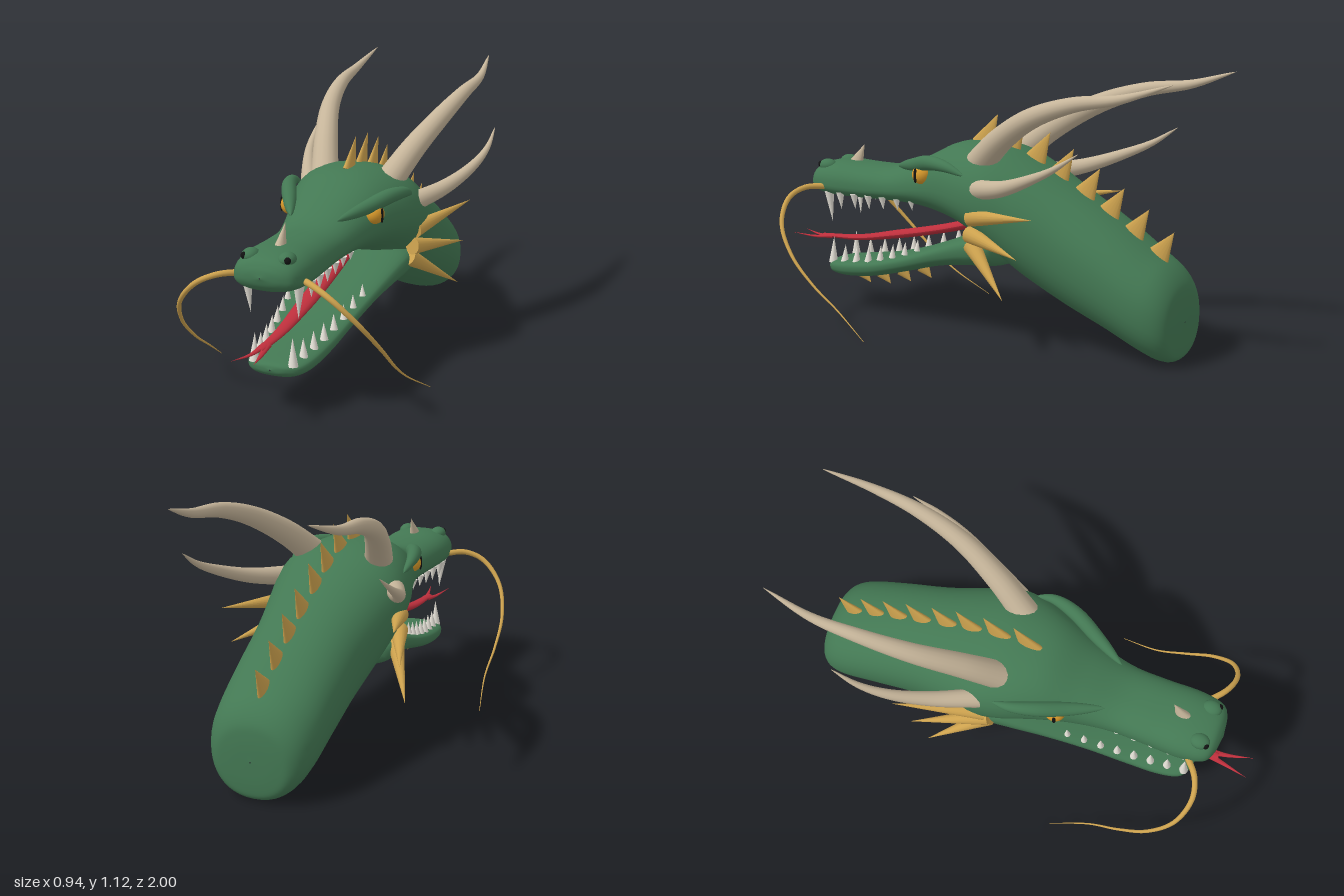
import * as THREE from 'three';

const material = (name, color) => {
  const m = new THREE.MeshStandardMaterial({ color });
  m.name = name;
  return m;
};
const V = (x, y, z) => new THREE.Vector3(x, y, z);

// Closed body lofted along z from stations [z, top, bottom, half width, squareness, widest level 0..1]
function loft(stations, rings, sides) {
  const heights = new THREE.CatmullRomCurve3(stations.map(s => V(s[0], s[1], s[2])), false, 'catmullrom', 0.5);
  const shapes = new THREE.CatmullRomCurve3(stations.map(s => V(s[3], s[4], s[5])), false, 'catmullrom', 0.5);
  const pos = [], index = [];
  const pw = (v, n) => Math.sign(v) * Math.pow(Math.abs(v), 2 / n);
  for (let i = 0; i <= rings; i++) {
    const { x: z, y: top, z: bottom } = heights.getPoint(i / rings);
    const { x: w, y: n, z: level } = shapes.getPoint(i / rings);
    const mid = bottom + (top - bottom) * level;
    for (let j = 0; j < sides; j++) {
      const a = (j / sides) * Math.PI * 2, s = Math.sin(a);
      pos.push(w * pw(Math.cos(a), n), mid + (s > 0 ? top - mid : mid - bottom) * pw(s, n), z);
      if (i === rings) continue;
      const a0 = i * sides + j, b0 = i * sides + (j + 1) % sides;
      index.push(a0, a0 + sides, b0, b0, a0 + sides, b0 + sides);
    }
  }
  const g = new THREE.BufferGeometry();
  g.setAttribute('position', new THREE.Float32BufferAttribute(pos, 3));
  g.setIndex(index);
  g.computeVertexNormals();
  return g;
}

// Round tube along points whose radius follows a rule; flat squashes it in y
function taper(points, radius, flat = 1, segs = 40, sides = 16) {
  const curve = new THREE.CatmullRomCurve3(points.map(p => V(...p)));
  const g = new THREE.TubeGeometry(curve, segs, 1, sides);
  const p = g.attributes.position, n = g.attributes.normal;
  for (let i = 0; i <= segs; i++) {
    const c = curve.getPointAt(i / segs), r = Math.max(radius(i / segs), 0.0005);
    for (let j = 0; j <= sides; j++) {
      const k = i * (sides + 1) + j;
      p.setXYZ(k, c.x + n.getX(k) * r, c.y + n.getY(k) * r * flat, c.z + n.getZ(k) * r);
    }
  }
  if (flat !== 1) g.computeVertexNormals();
  return g;
}

export function createModel() {
  const model = new THREE.Group();
  model.name = 'dragonHead';
  const green = material('scale green', 0x437853);
  const bone = material('horn bone', 0xc6b59a);
  const gold = material('spike gold', 0xcda24e);
  const ivory = material('tooth ivory', 0xe6e2d8);
  const red = material('tongue red', 0xbd2f3c);
  const amber = material('eye amber', 0xd99a2b);
  const black = material('pupil black', 0x121212);

  const add = (name, geometry, mat) => {
    const mesh = new THREE.Mesh(geometry, mat);
    mesh.name = name;
    model.add(mesh);
    return mesh;
  };
  const spike = (name, mat, base, tip, r, thin = 1) => {
    const a = V(...base), b = V(...tip), d = b.clone().sub(a);
    const m = add(name, new THREE.ConeGeometry(r, d.length(), 16), mat);
    m.position.copy(a).addScaledVector(d, 0.5);
    m.quaternion.setFromUnitVectors(V(0, 1, 0), d.normalize());
    m.scale.x = thin;
  };
  const ball = (name, mat, at, size) => {
    const m = add(name, new THREE.SphereGeometry(1, 24, 16), mat);
    m.position.set(...at);
    m.scale.set(...size);
    return m;
  };

  // Snout, skull and neck in one skin
  add('headAndNeck', loft([
    [0.848, 0.575, 0.57, 0.003, 2.2, 0.4],
    [0.835, 0.61, 0.535, 0.085, 2.3, 0.4],
    [0.80, 0.64, 0.51, 0.13, 2.4, 0.38],
    [0.70, 0.655, 0.50, 0.148, 2.4, 0.36],
    [0.55, 0.652, 0.502, 0.145, 2.4, 0.36],
    [0.40, 0.66, 0.505, 0.148, 2.3, 0.38],
    [0.25, 0.715, 0.50, 0.178, 2.2, 0.4],
    [0.10, 0.785, 0.475, 0.225, 2.2, 0.42],
    [-0.03, 0.80, 0.435, 0.268, 2.2, 0.44],
    [-0.15, 0.785, 0.36, 0.283, 2.2, 0.5],
    [-0.28, 0.735, 0.265, 0.262, 2.2, 0.52],
    [-0.45, 0.645, 0.175, 0.235, 2.2, 0.52],
    [-0.65, 0.53, 0.095, 0.226, 2.2, 0.5],
    [-0.80, 0.43, 0.03, 0.218, 2.2, 0.5],
    [-0.88, 0.375, 0.003, 0.198, 2.2, 0.5],
    [-0.925, 0.315, 0.012, 0.16, 2.2, 0.5],
    [-0.937, 0.255, 0.06, 0.105, 2.2, 0.5],
    [-0.94, 0.165, 0.16, 0.003, 2.2, 0.5],
  ], 102, 40), green);

  // Lower jaw
  add('lowerJaw', loft([
    [0.775, 0.187, 0.182, 0.003, 2.5, 0.6],
    [0.765, 0.205, 0.165, 0.065, 2.5, 0.6],
    [0.73, 0.215, 0.148, 0.112, 2.6, 0.6],
    [0.64, 0.228, 0.146, 0.136, 2.7, 0.6],
    [0.50, 0.25, 0.165, 0.148, 2.7, 0.6],
    [0.33, 0.295, 0.21, 0.165, 2.7, 0.6],
    [0.15, 0.36, 0.26, 0.195, 2.7, 0.6],
    [0.0, 0.42, 0.285, 0.225, 2.7, 0.6],
    [-0.10, 0.447, 0.295, 0.238, 2.7, 0.6],
    [-0.18, 0.43, 0.31, 0.215, 2.5, 0.6],
    [-0.225, 0.375, 0.365, 0.01, 2.4, 0.6],
  ], 60, 36), green);

  // Forked tongue
  add('tongue', taper([[0, 0.455, 0], [0, 0.4, 0.2], [0, 0.345, 0.45], [0, 0.306, 0.66], [0, 0.294, 0.86]],
    t => 0.037 * Math.min(1, Math.sqrt(t * 12)) * (t < 0.5 ? 1 : 1 - 1.2 * (t - 0.5)), 0.5), red);

  // Spines along the back, each leaning backward: [z, surface y]
  [[0, 0.79], [-0.13, 0.78], [-0.25, 0.74], [-0.36, 0.685], [-0.48, 0.62], [-0.59, 0.555], [-0.70, 0.485], [-0.81, 0.41]]
    .forEach(([z, y], i) => spike('backSpine', gold, [0, y - 0.015, z], [0, y + 0.122 - i * 0.003, z - 0.075], 0.056, 0.36));

  // Spikes under the chin
  [[0.64, 0.155], [0.53, 0.165], [0.42, 0.19], [0.31, 0.22]]
    .forEach(([z, y]) => spike('chinSpike', gold, [0, y, z], [0, y - 0.047, z - 0.045], 0.036, 0.5));

  spike('noseHorn', bone, [0, 0.64, 0.665], [0, 0.727, 0.62], 0.034, 0.65);

  for (const s of [1, -1]) {
    const side = s > 0 ? 'left' : 'right';
    const flip = pts => pts.map(([x, y, z]) => [x * s, y, z]);

    // Horns
    add(side + 'GreatHorn', taper(flip([[0.14, 0.72, -0.07], [0.2, 0.845, -0.22], [0.258, 0.95, -0.4],
      [0.29, 1.018, -0.6], [0.298, 1.052, -0.8], [0.275, 1.115, -1.0]]), t => 0.06 * Math.pow(1 - t, 0.75)), bone);
    add(side + 'SideHorn', taper(flip([[0.23, 0.635, -0.12], [0.32, 0.672, -0.3], [0.385, 0.73, -0.46],
      [0.41, 0.785, -0.58], [0.41, 0.855, -0.69]]), t => 0.042 * Math.pow(1 - t, 0.75)), bone);

    // Cheek spikes
    [[[0.25, 0.525, -0.11], [0.375, 0.575, -0.47]], [[0.245, 0.455, -0.1], [0.372, 0.41, -0.4]],
      [[0.23, 0.405, -0.1], [0.37, 0.238, -0.335]]]
      .forEach(p => spike(side + 'CheekSpike', gold, ...flip(p), 0.037));

    // Whisker
    add(side + 'Whisker', taper(flip([[0.12, 0.548, 0.73], [0.2, 0.548, 0.795], [0.28, 0.513, 0.818],
      [0.37, 0.42, 0.785], [0.42, 0.3, 0.69], [0.43, 0.19, 0.57], [0.432, 0.1, 0.44], [0.468, 0, 0.275]]),
      t => 0.0135 * (1 - 0.92 * t), 1, 60, 10), gold);

    // Brow ridge, eye and pupil
    add(side + 'Brow', taper(flip([[0.1, 0.672, 0.36], [0.165, 0.697, 0.23], [0.222, 0.722, 0.11],
      [0.25, 0.717, 0.01], [0.25, 0.69, -0.07]]), t => 0.031 * Math.pow(Math.sin(Math.PI * t), 0.6)), green);
    ball(side + 'Eye', amber, [s * 0.187, 0.662, 0.18], [0.038, 0.04, 0.042]).rotation.y = -s * 0.3;
    ball(side + 'Pupil', black, [s * 0.221, 0.662, 0.187], [0.006, 0.031, 0.008]);

    // Nostril
    ball(side + 'NostrilBump', green, [s * 0.075, 0.632, 0.765], [0.034, 0.028, 0.042]);
    ball(side + 'Nostril', black, [s * 0.088, 0.636, 0.793], [0.014, 0.014, 0.014]);

    // Tongue fork
    add(side + 'TongueFork', taper(flip([[0.006, 0.296, 0.8], [0.02, 0.287, 0.89], [0.046, 0.297, 1.0]]),
      t => 0.016 * (1 - t), 0.6, 16, 10), red);

    // Upper teeth: a long fang, then a shrinking row
    spike('upperFang', ivory, [s * 0.108, 0.53, 0.735], [s * 0.1, 0.388, 0.725], 0.022);
    for (let i = 0; i < 6; i++) {
      const z = 0.66 - i * 0.076;
      spike('upperTooth', ivory, [s * 0.125, 0.53, z], [s * 0.122, 0.455 + i * 0.007, z - 0.004], 0.019 - i * 0.001);
    }

    // Lower teeth follow the rising jaw edge
    for (let i = 0; i < 8; i++) {
      const z = 0.74 - i * 0.073, x = 0.082 + i * 0.0105;
      const y = 0.2 + i * 0.007 + i * i * 0.0016;
      spike('lowerTooth', ivory, [s * x, y, z], [s * (x - 0.003), y + (i ? 0.086 - i * 0.005 : 0.115), z - 0.004], 0.02 - i * 0.001);
    }
  }
  return model;
}
